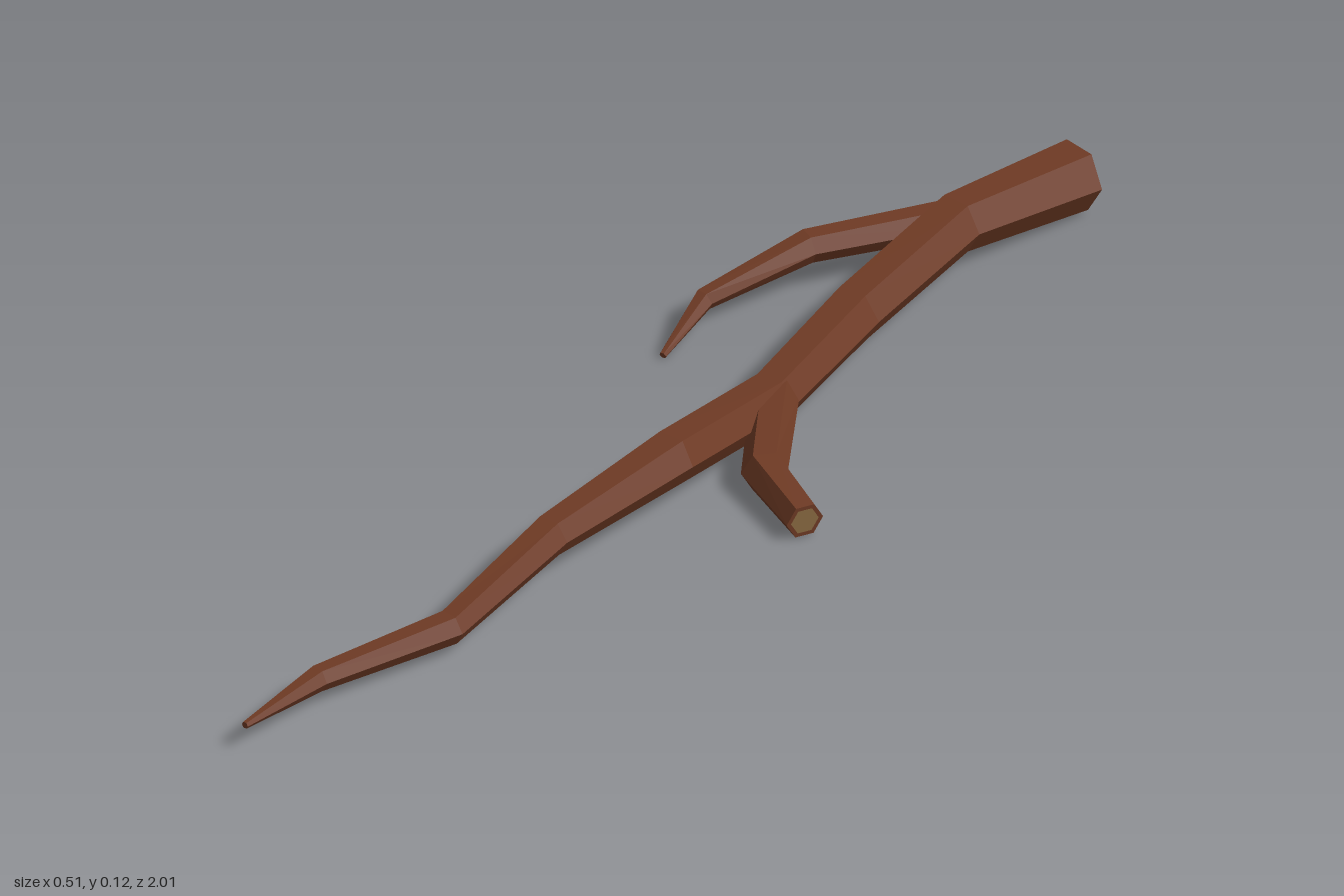
import * as THREE from 'three';

const SIDES = 6;
const bark = new THREE.MeshStandardMaterial({ color: 0x6e3a24, flatShading: true });
const wood = new THREE.MeshStandardMaterial({ color: 0x8a6a42, flatShading: true });

// Hexagonal rings with flat tops, mitred along a path of [x, y, z, radius] stations
function makeRings(stations) {
  const points = stations.map(([x, y, z]) => new THREE.Vector3(x, y, z));
  const up = new THREE.Vector3(0, 1, 0);
  const last = points.length - 1;
  return points.map((p, i) => {
    const tangent = new THREE.Vector3();
    if (i > 0) tangent.add(p.clone().sub(points[i - 1]).normalize());
    if (i < last) tangent.add(points[i + 1].clone().sub(p).normalize());
    tangent.normalize();
    const u = up.clone().cross(tangent).normalize();
    const v = tangent.clone().cross(u);
    return Array.from({ length: SIDES }, (_, j) => {
      const a = (j / SIDES) * Math.PI * 2;
      return p.clone()
        .addScaledVector(u, Math.cos(a) * stations[i][3])
        .addScaledVector(v, Math.sin(a) * stations[i][3]);
    });
  });
}

const ringCentre = (ring) =>
  ring.reduce((sum, p) => sum.add(p), new THREE.Vector3()).divideScalar(ring.length);

function meshFrom(triangles, material, name) {
  const geometry = new THREE.BufferGeometry().setFromPoints(triangles);
  geometry.computeVertexNormals();
  const mesh = new THREE.Mesh(geometry, material);
  mesh.name = name;
  return mesh;
}

// Fan closing a ring, facing along the path (or backwards when flipped)
function fan(ring, flip = false) {
  const c = ringCentre(ring);
  return ring.flatMap((p, j) => {
    const q = ring[(j + 1) % SIDES];
    return flip ? [c, q, p] : [c, p, q];
  });
}

// One limb; a sawn end gets a bark rim around a pale wood face
function makeLimb(name, stations, sawn) {
  const limb = new THREE.Group();
  limb.name = name;
  const rings = makeRings(stations);
  const end = rings[rings.length - 1];
  if (sawn) {
    const c = ringCentre(end);
    rings.push(end.map((p) => p.clone().lerp(c, 0.24)));
  }
  const triangles = fan(rings[0], true);
  for (let i = 0; i < rings.length - 1; i++) {
    for (let j = 0; j < SIDES; j++) {
      const k = (j + 1) % SIDES;
      const [a, b, c, d] = [rings[i][j], rings[i][k], rings[i + 1][k], rings[i + 1][j]];
      triangles.push(a, b, c, a, c, d);
    }
  }
  const cap = fan(rings[rings.length - 1]);
  if (!sawn) triangles.push(...cap);
  limb.add(meshFrom(triangles, bark, name + 'Bark'));
  if (sawn) limb.add(meshFrom(cap, wood, name + 'CutFace'));
  return limb;
}

export function createModel() {
  const model = new THREE.Group();
  model.name = 'fallenBranch';

  // Main stem, from thin tip to thick sawn end
  model.add(makeLimb('mainStem', [
    [-0.122, 0.045, 1.0, 0.006],
    [-0.105, 0.047, 0.83, 0.021],
    [-0.023, 0.047, 0.595, 0.028],
    [-0.022, 0.075, 0.33, 0.034],
    [0.007, 0.08, 0.05, 0.044],
    [0.002, 0.042, -0.22, 0.044],
    [-0.023, 0.053, -0.48, 0.047],
    [-0.02, 0.076, -0.75, 0.048],
    [0.037, 0.058, -0.992, 0.057],
  ], true));

  // Short sawn side branch
  model.add(makeLimb('sawnBranch', [
    [0.0, 0.045, -0.24, 0.038],
    [0.11, 0.038, -0.055, 0.037],
    [0.235, 0.031, 0.015, 0.031],
  ], true));

  // Slender tapering twig
  model.add(makeLimb('sideTwig', [
    [-0.03, 0.07, -0.78, 0.03],
    [-0.168, 0.077, -0.565, 0.027],
    [-0.24, 0.045, -0.39, 0.018],
    [-0.234, 0.007, -0.272, 0.006],
  ], false));

  return model;
}
